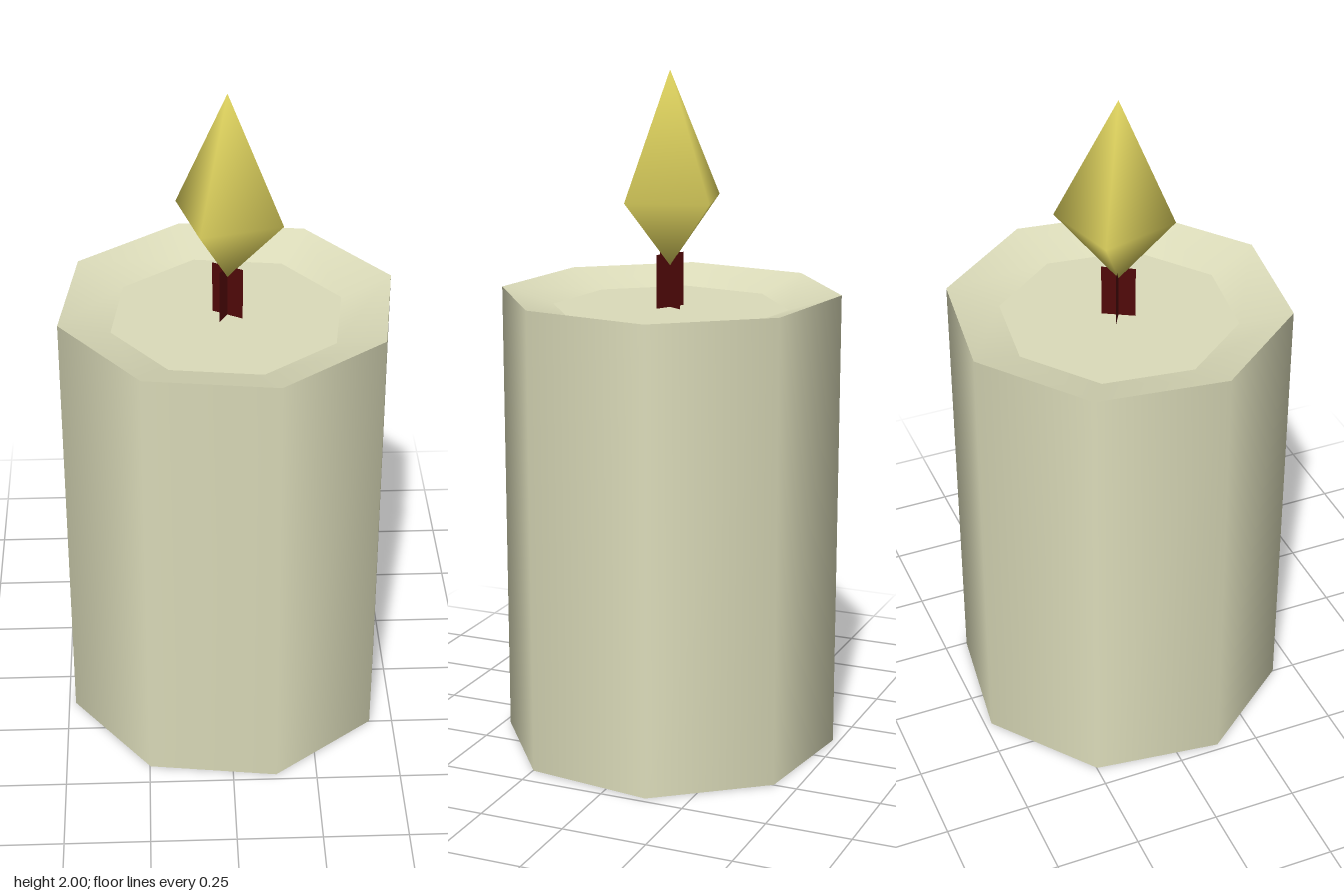
import * as THREE from 'three';

const DEG = Math.PI / 180;

export function createModel() {
  const group = new THREE.Group();
  const make = (name, color) => {
    const m = new THREE.MeshStandardMaterial({ color, side: THREE.DoubleSide });
    m.name = name;
    return m;
  };
  const wax = make('wax', 0xdcdcba);
  const wickRed = make('wickRed', 0x500808);
  const flameYellow = make('flameYellow', 0xe2d660);

  const add = (name, geometry, material, y = 0) => {
    const mesh = new THREE.Mesh(geometry, material);
    mesh.name = name;
    mesh.position.y = y;
    group.add(mesh);
    return mesh;
  };

  // Eight-sided wax body, open underneath, with a shallow sloped hollow on top
  const R = 0.497, r = 0.345, top = 1.365, floor = 1.318, turn = 15 * DEG;
  add('candleWall', new THREE.CylinderGeometry(R, R, top, 8, 1, true, turn), wax, top / 2);
  add('hollowSlope', new THREE.CylinderGeometry(R, r, top - floor, 8, 1, true, turn), wax, (top + floor) / 2);
  const pool = new THREE.CircleGeometry(r, 8, turn);
  pool.rotateX(-Math.PI / 2);
  add('hollowFloor', pool, wax, floor);

  // Wick: two crossed upright strips
  const wickTop = 1.475;
  for (const angle of [-30, 60]) {
    const strip = add('wick', new THREE.PlaneGeometry(0.098, wickTop - floor), wickRed, (wickTop + floor) / 2);
    strip.rotation.y = angle * DEG;
  }

  // Flame: smooth four-sided double pyramid, ring slightly off centre
  const points = [0, 2, 0, 0, 1.44, 0];
  const faces = [];
  for (let i = 0; i < 4; i++) {
    const a = (60 + i * 90) * DEG;
    points.push(0.005 + 0.171 * Math.sin(a), 1.635, -0.01 + 0.171 * Math.cos(a));
    const p = 2 + i, q = 2 + (i + 1) % 4;
    faces.push(0, p, q, 1, q, p);
  }
  const flame = new THREE.BufferGeometry();
  flame.setAttribute('position', new THREE.Float32BufferAttribute(points, 3));
  flame.setIndex(faces);
  flame.computeVertexNormals();
  add('flame', flame, flameYellow);

  return group;
}
